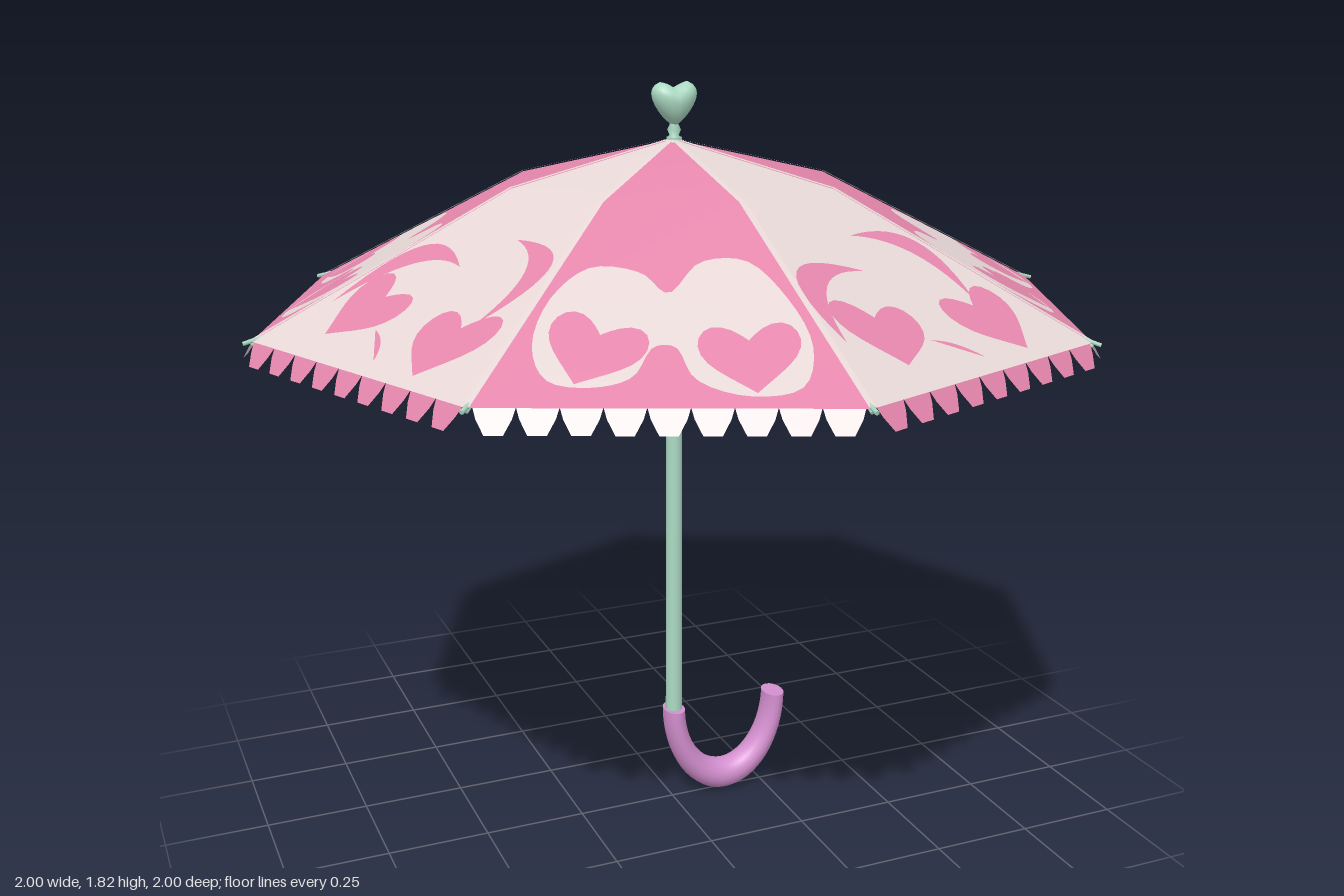
import * as THREE from 'three';
import { mergeGeometries } from 'three/addons/utils/BufferGeometryUtils.js';

const paint = (name, color, side = THREE.FrontSide) => {
  const m = new THREE.MeshStandardMaterial({ color, side });
  m.name = name;
  return m;
};

const SIDES = 8, STEP = Math.PI / 4, TWIST = 0.01;
const TOP = 1.69, MID_R = 0.39, MID_Y = 1.597, RIM_R = 0.982, RIM_Y = 1.3;
const IN = Math.cos(STEP / 2); // corner radius to edge distance
const AXIS_X = 0.004; // the pole stands slightly off centre

export function createModel() {
  const model = new THREE.Group();
  model.name = 'umbrella';
  const pink = paint('pink fabric', 0xe486ab, THREE.DoubleSide);
  const cream = paint('pale fabric', 0xe6d6d6, THREE.DoubleSide);
  const mint = paint('mint', 0xacdac3);
  const lilac = paint('lilac', 0xd38fce);

  const canopy = new THREE.Group();
  canopy.name = 'canopy';
  const shaft = new THREE.Group();
  shaft.name = 'shaft';
  shaft.position.x = AXIS_X;
  model.add(canopy, shaft);

  const add = (name, geo, mat, parent) => {
    const mesh = new THREE.Mesh(geo, mat);
    mesh.name = name;
    parent.add(mesh);
    return mesh;
  };
  const polar = (a, r, y) => new THREE.Vector3(Math.cos(a) * r, y, Math.sin(a) * r);

  // Thin round bar between two points
  const rod = (name, a, b, r) => {
    const dir = b.clone().sub(a);
    const mesh = add(name, new THREE.CylinderGeometry(r, r, dir.length(), 6), mint, canopy);
    mesh.position.copy(a).add(b).multiplyScalar(0.5);
    mesh.quaternion.setFromUnitVectors(new THREE.Vector3(0, 1, 0), dir.normalize());
  };

  // Pattern shapes: x runs along the rim, y is the distance from the pole
  const heart = (cx, cy, size, turn) => {
    const pts = [];
    for (let i = 0; i < 32; i++) {
      const t = (i / 32) * Math.PI * 2;
      const x = Math.sin(t) * Math.abs(Math.sin(t)) * 0.5 * size;
      const y = -(13 * Math.cos(t) - 5 * Math.cos(2 * t) - 2 * Math.cos(3 * t) - Math.cos(4 * t)) / 34 * size;
      pts.push(new THREE.Vector2(x, y).rotateAround(new THREE.Vector2(), turn).add(new THREE.Vector2(cx, cy)));
    }
    return new THREE.Shape(pts);
  };
  const crescent = (x0, y0, x1, y1, ox, oy, ix, iy) => {
    const s = new THREE.Shape();
    s.moveTo(x0, y0);
    s.quadraticCurveTo(ox, oy, x1, y1);
    s.quadraticCurveTo(ix, iy, x0, y0);
    return s;
  };
  const cloud = new THREE.Shape(new THREE.CatmullRomCurve3([
    [0.265, 0.76], [0.235, 0.63], [0.16, 0.55], [0.06, 0.565], [0.005, 0.62], [-0.06, 0.535],
    [-0.15, 0.53], [-0.23, 0.63], [-0.275, 0.76], [-0.25, 0.86], [-0.15, 0.88], [-0.05, 0.84],
    [-0.01, 0.76], [0.03, 0.76], [0.07, 0.835], [0.14, 0.86], [0.23, 0.845],
  ].map(([x, y]) => new THREE.Vector3(x, y, 0)), true).getPoints(70).slice(0, -1)
    .map((p) => new THREE.Vector2(p.x, p.y)));
  const cloudHearts = [heart(0.145, 0.76, 0.2, -0.35), heart(-0.155, 0.775, 0.2, 0.1)];
  const hearts = [heart(0.15, 0.745, 0.205, -0.35), heart(-0.16, 0.775, 0.205, 0.1)];
  const swirls = [
    crescent(0.03, 0.6, 0.275, 0.76, 0.26, 0.45, 0.19, 0.555),
    crescent(-0.04, 0.5, -0.18, 0.73, -0.3, 0.475, -0.205, 0.54),
    crescent(-0.03, 0.87, 0.06, 0.8, 0.0, 0.815, 0.015, 0.835),
  ];
  // Flat print on both faces of the cloth
  const print = (shapes, gap, matrix) => {
    const face = new THREE.ShapeGeometry(shapes, 14);
    return mergeGeometries([face.clone().translate(0, 0, gap), face.translate(0, 0, -gap)]).applyMatrix4(matrix);
  };

  // One edge of hanging trim, nine tapered tabs
  const tabs = [];
  for (let i = 0; i < 9; i++) {
    const c = (i - 4) * 0.081;
    tabs.push(new THREE.Shape([[-0.04, 0], [0.04, 0], [0.034, 0.018], [0.018, 0.045], [-0.018, 0.045], [-0.034, 0.018]]
      .map(([x, y]) => new THREE.Vector2(c + x, y))));
  }

  const slope = (RIM_Y - MID_Y) / ((RIM_R - MID_R) * IN);
  for (let k = 0; k < SIDES; k++) {
    const a0 = k * STEP + TWIST, a1 = a0 + STEP, mid = a0 + STEP / 2;
    const [base, accent] = k % 2 ? [cream, pink] : [pink, cream];
    const panel = new THREE.Group();
    panel.name = 'canopyPanel';
    canopy.add(panel);

    // Fabric: a shallow upper triangle and a steeper lower part, softly joined
    const apex = new THREE.Vector3(0, TOP, 0);
    const m0 = polar(a0, MID_R, MID_Y), m1 = polar(a1, MID_R, MID_Y);
    const r0 = polar(a0, RIM_R, RIM_Y), r1 = polar(a1, RIM_R, RIM_Y);
    const cloth = new THREE.BufferGeometry().setFromPoints([apex, m0, m1, r0, r1]);
    cloth.setIndex([0, 2, 1, 1, 2, 4, 1, 4, 3]);
    cloth.computeVertexNormals();
    add('fabric', cloth, base, panel);

    // Frame that lays flat shapes on the lower part of the panel
    const along = new THREE.Vector3(-Math.sin(mid), 0, Math.cos(mid));
    const out = polar(mid, 1, 0);
    const down = out.clone().setY(slope);
    const normal = along.clone().cross(down).normalize();
    const lay = new THREE.Matrix4().makeBasis(along, down, normal)
      .setPosition(0, MID_Y - slope * MID_R * IN, 0);
    if (k % 2) {
      add('hearts', print([...hearts, ...swirls], 0.002, lay), pink, panel);
    } else {
      add('cloud', print(cloud, 0.002, lay), cream, panel);
      add('hearts', print(cloudHearts, 0.004, lay), pink, panel);
    }

    // Trim flares outward below the rim in the opposite colour
    const hang = polar(mid, 0.65, -1);
    const fall = new THREE.Matrix4().makeBasis(along, hang, along.clone().cross(hang).normalize())
      .setPosition(out.clone().multiplyScalar(RIM_R * IN).setY(RIM_Y));
    add('trim', new THREE.ShapeGeometry(tabs).applyMatrix4(fall), accent, panel);

    // Pale flat seam along the fold between panels
    const side = new THREE.Vector3(-Math.sin(a0), 0, Math.cos(a0)).multiplyScalar(0.007);
    const line = [apex, m0, r0].map((p) => p.clone().setY(p.y + 0.003));
    const seam = new THREE.BufferGeometry().setFromPoints(
      line.flatMap((p) => [p.clone().sub(side), p.clone().add(side)]));
    seam.setIndex([0, 1, 3, 0, 3, 2, 2, 3, 5, 2, 5, 4]);
    seam.computeVertexNormals();
    add('seam', seam, cream, panel);

    // Rib under the fold, and a brace from the hub to just past the corner
    const [u0, u1, u2] = [apex, m0, r0].map((p) => p.clone().setY(p.y - 0.008));
    rod('rib', u0, u1, 0.004);
    rod('rib', u1, u2, 0.004);
    rod('brace', polar(a0, 0.02, 1.56), polar(a0, 1, RIM_Y - 0.004), 0.005);
  }

  // Pole and hub
  add('pole', new THREE.CylinderGeometry(0.018, 0.021, 1.45, 16), mint, shaft).position.y = 0.97;
  add('hub', new THREE.CylinderGeometry(0.033, 0.033, 0.1, 12), mint, shaft).position.y = 1.515;

  // Heart finial on a small neck
  const neck = [[0.022, 1.685], [0.011, 1.7], [0.016, 1.712], [0.01, 1.725], [0.012, 1.75]];
  add('finialNeck', new THREE.LatheGeometry(neck.map(([x, y]) => new THREE.Vector2(x, y)), 12), mint, shaft);
  const knob = new THREE.SphereGeometry(1, 16, 12);
  const p = knob.attributes.position;
  for (let i = 0; i < p.count; i++) {
    const x = p.getX(i), y = p.getY(i), z = p.getZ(i);
    const w = 0.95 + 0.32 * y; // narrow towards the point
    const dip = y > 0 ? 0.32 * y * Math.max(0, 1 - Math.abs(x) * 2.2) : 0;
    p.setXYZ(i, x * w * 0.055, (y - dip + 0.2 * Math.abs(x)) * 0.05, z * (0.97 + 0.15 * y) * 0.04);
  }
  knob.computeVertexNormals();
  add('finialHeart', knob, mint, shaft).position.y = 1.771;

  // Hooked handle with capped ends
  const handle = new THREE.Group();
  handle.name = 'handle';
  handle.position.set(0.14, 0.25, 0);
  handle.scale.x = 0.667;
  shaft.add(handle);
  add('hook', new THREE.TorusGeometry(0.21, 0.04, 16, 32, Math.PI).rotateZ(Math.PI), lilac, handle);
  for (const x of [-0.21, 0.21]) {
    add('handleEnd', new THREE.CircleGeometry(0.04, 16).rotateX(-Math.PI / 2).translate(x, 0, 0), lilac, handle);
  }
  return model;
}
